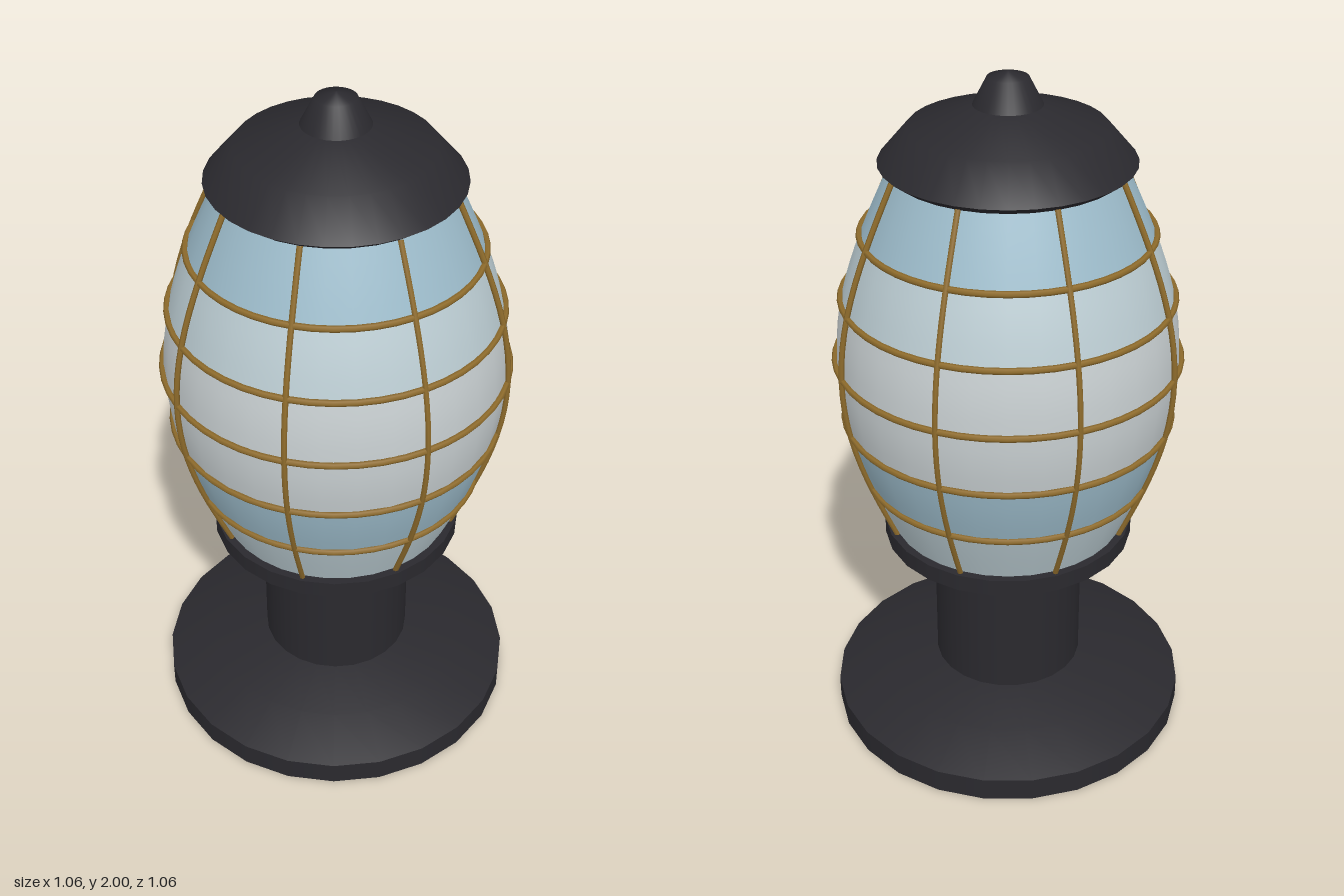
import * as THREE from 'three';

const Y0 = 0.645, Y1 = 1.745, BANDS = 6;
// Barrel radius at height fraction t (0 bottom, 1 top)
const bulge = t => 0.335 - 0.02 * t + 0.155 * Math.sin(Math.PI * t);
const height = t => Y0 + (Y1 - Y0) * t;

function lathe(name, points, segments, material) {
  const pts = points.map(([r, y]) => new THREE.Vector2(r, y));
  const mesh = new THREE.Mesh(new THREE.LatheGeometry(pts, segments), material);
  mesh.name = name;
  return mesh;
}

export function createModel() {
  const model = new THREE.Group();
  model.name = 'lantern';
  const dark = new THREE.MeshStandardMaterial({ color: 0x2a292e, side: THREE.DoubleSide });
  const brass = new THREE.MeshStandardMaterial({ color: 0x8f6c2c });

  // Hollow flared foot, stem and collar, each with its own hard edges
  model.add(lathe('footRim', [[0.53, 0], [0.53, 0.07]], 24, dark));
  model.add(lathe('footSlope', [[0.53, 0.07], [0.385, 0.13], [0.22, 0.165]], 24, dark));
  model.add(lathe('stem', [[0.22, 0.165], [0.22, 0.575]], 24, dark));
  model.add(lathe('collarUnderside', [[0.22, 0.575], [0.365, 0.61]], 24, dark));
  model.add(lathe('collarRim', [[0.365, 0.61], [0.365, 0.66]], 24, dark));
  model.add(lathe('collarTop', [[0.365, 0.66], [0.3, 0.66]], 24, dark));

  // Cap with a small knob
  model.add(lathe('capUnderside', [[0, 1.728], [0.3, 1.728]], 32, dark));
  model.add(lathe('capLip', [[0.3, 1.728], [0.345, 1.762]], 32, dark));
  model.add(lathe('capDome', [[0.345, 1.762], [0.265, 1.855], [0.093, 1.912]], 32, dark));
  model.add(lathe('capKnob', [[0.093, 1.912], [0.055, 1.985], [0, 2]], 32, dark));

  // Tinted glass bands, bottom to top
  const glass = new THREE.Group();
  glass.name = 'glass';
  const tints = [0xbccdd3, 0x9dbccb, 0xc8cfd1, 0xc8cfd1, 0xbccdd3, 0x9dbccb];
  tints.forEach((color, i) => {
    const pts = [];
    for (let k = 0; k <= 4; k++) {
      const t = (i + k / 4) / BANDS;
      pts.push([bulge(t), height(t)]);
    }
    const mat = new THREE.MeshStandardMaterial({ color, side: THREE.DoubleSide });
    glass.add(lathe('glassBand', pts, 32, mat));
  });
  model.add(glass);

  // Brass cage: rings between the bands and eight curved ribs
  const cage = new THREE.Group();
  cage.name = 'cage';
  for (let i = 1; i < BANDS; i++) {
    const t = i / BANDS;
    const ring = new THREE.Mesh(new THREE.TorusGeometry(bulge(t) + 0.004, 0.009, 6, 48), brass);
    ring.name = 'cageRing';
    ring.rotation.x = Math.PI / 2;
    ring.position.y = height(t);
    cage.add(ring);
  }
  const path = [];
  for (let k = 0; k <= 12; k++) path.push(new THREE.Vector3(bulge(k / 12) + 0.007, height(k / 12), 0));
  const ribGeometry = new THREE.TubeGeometry(new THREE.CatmullRomCurve3(path), 24, 0.008, 6);
  for (let i = 0; i < 8; i++) {
    const rib = new THREE.Mesh(ribGeometry, brass);
    rib.name = 'cageRib';
    rib.rotation.y = i * Math.PI / 4;
    cage.add(rib);
  }
  model.add(cage);

  return model;
}
